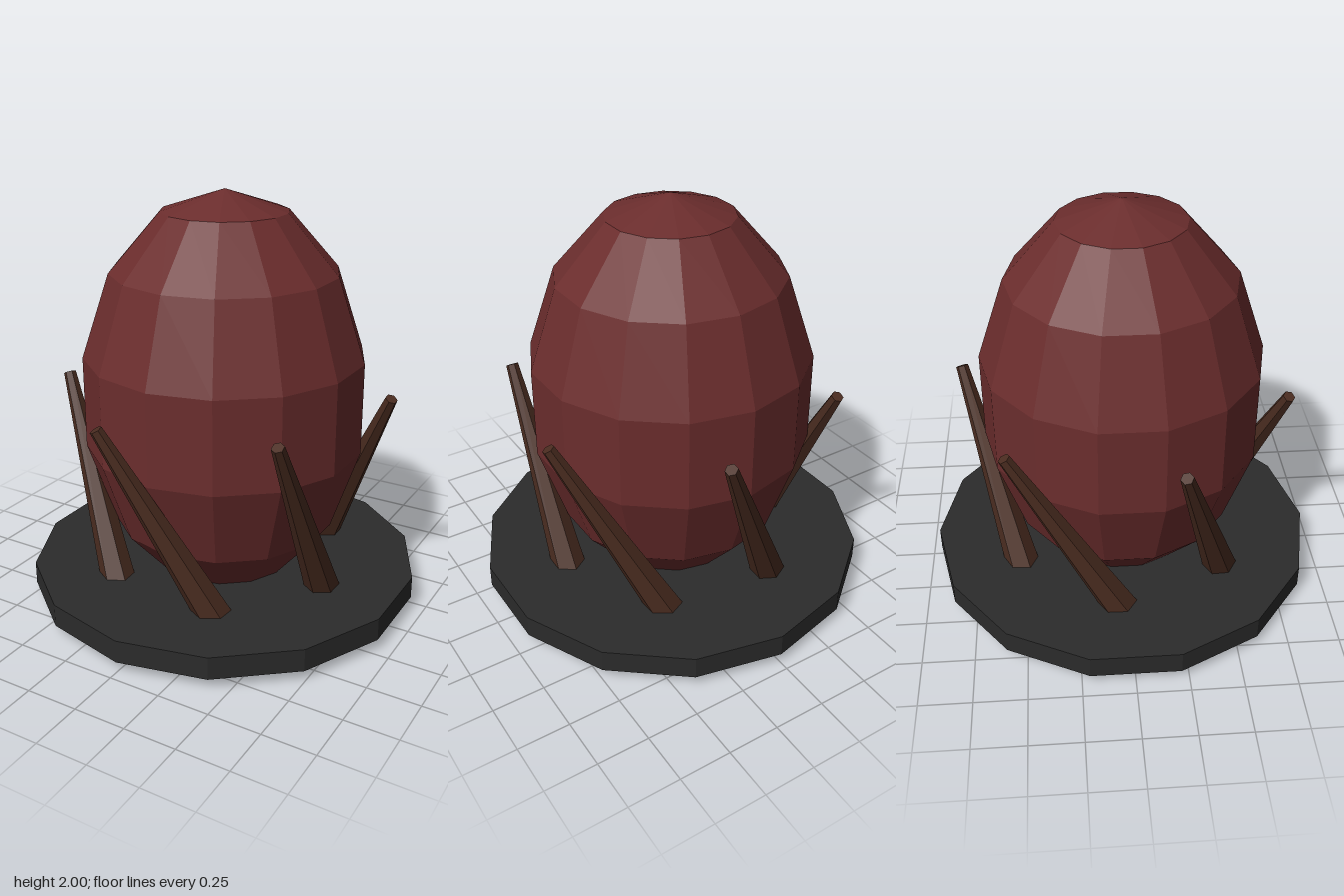
import * as THREE from 'three';

function flatMaterial(name, color) {
  const material = new THREE.MeshStandardMaterial({ color, flatShading: true });
  material.name = name;
  return material;
}

export function createModel() {
  const model = new THREE.Group();
  model.name = 'eggOnStand';

  const shellRed = flatMaterial('shell red', 0x6b2d2d);
  const stoneGrey = flatMaterial('stone grey', 0x2b2b2b);
  const barkBrown = flatMaterial('bark brown', 0x4a2c20);

  const add = (name, geometry, material) => {
    const mesh = new THREE.Mesh(geometry, material);
    mesh.name = name;
    model.add(mesh);
    return mesh;
  };

  // Fourteen-sided base slab
  add('base', new THREE.CylinderGeometry(0.955, 0.955, 0.11, 14), stoneGrey).position.y = 0.11;

  // Faceted egg, stretched upward, with a corner facing the front
  const eggGeometry = new THREE.SphereGeometry(0.69, 14, 7);
  eggGeometry.rotateY(Math.PI / 2);
  eggGeometry.scale(1, 0.993 / 0.69, 1);
  add('egg', eggGeometry, shellRed).position.y = 1.007;

  // Six tapered prongs, each leaning sideways around the egg
  const length = 1.155;
  const prongGeometry = new THREE.CylinderGeometry(0.03, 0.09, length, 6);
  prongGeometry.translate(0, length / 2, 0);
  prongGeometry.rotateX(0.5);
  prongGeometry.translate(0.575, 0.045, 0);
  for (let i = 0; i < 6; i++) {
    add(`prong${i + 1}`, prongGeometry, barkBrown).rotation.y = (i * Math.PI) / 3;
  }

  return model;
}
